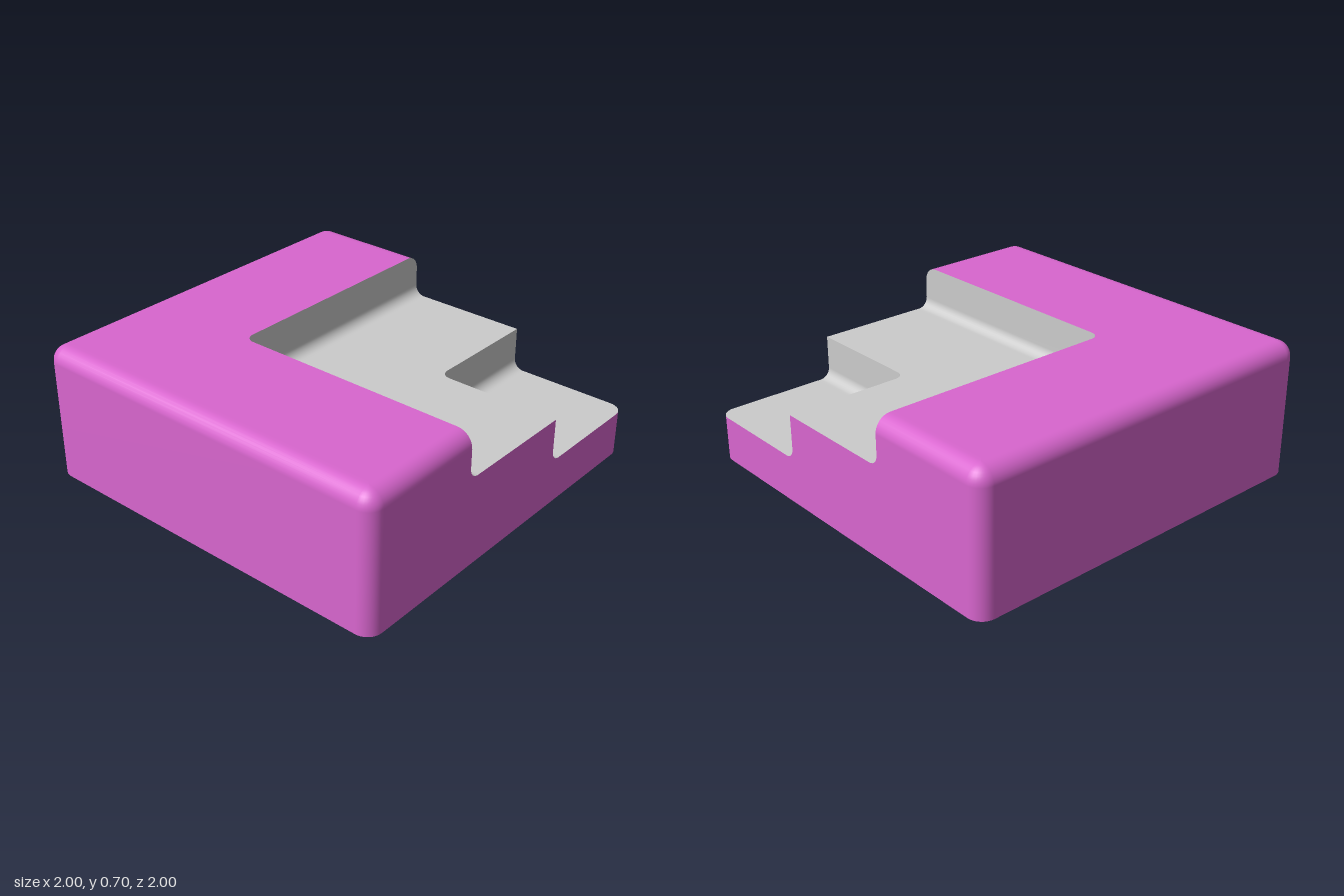
import * as THREE from 'three';

const TOP = 0.7, R = 0.08;          // block height, outer rounding
const F = 0.055, LIP = 0.02;        // recess fillet, flat strip beside each fillet
const STEPS = [{ at: -0.335, floor: 0.465 }, { at: 0.335, floor: 0.235 }];
const N = 8;

const pink = new THREE.MeshStandardMaterial({ color: 0xd966cf, side: THREE.DoubleSide });
const grey = new THREE.MeshStandardMaterial({ color: 0xcccccc, side: THREE.DoubleSide });

// Polyline of [x, z] points whose right-angled inner corners are rounded
function roundedPath(pts, r) {
  const out = [pts[0]];
  for (let i = 1; i < pts.length - 1; i++) {
    const p = new THREE.Vector2(...pts[i]);
    const u = new THREE.Vector2(...pts[i - 1]).sub(p).normalize();
    const v = new THREE.Vector2(...pts[i + 1]).sub(p).normalize();
    for (let k = 0; k <= N; k++) {
      const a = (k / N) * Math.PI / 2;
      const s = r * (1 - Math.sin(a)), t = r * (1 - Math.cos(a));
      out.push([p.x + u.x * s + v.x * t, p.y + u.y * s + v.y * t]);
    }
  }
  out.push(pts[pts.length - 1]);
  return out;
}

// Outer outline of the raised L, inset by d
const outerPath = (d) => roundedPath(
  [[STEPS[0].at, 1 - d], [-1 + d, 1 - d], [-1 + d, -1 + d], [1 - d, -1 + d], [1 - d, STEPS[0].at]],
  Math.max(R - d, 0));

// L-shaped wall line of a recess, moved inward by d
const recessPath = (at, d, end = 1) => roundedPath(
  [[at + d, end], [at + d, at + d], [end, at + d]], Math.max(F - d, 0));

const lift = (path, y) => path.map(([x, z]) => [x, y, z]);

// Smooth surface through rows of points
function grid(rows) {
  const w = rows[0].length, index = [];
  for (let i = 0; i < rows.length - 1; i++) {
    for (let j = 0; j < w - 1; j++) {
      const a = i * w + j, b = a + 1, c = a + w, d = c + 1;
      index.push(a, c, b, b, c, d);
    }
  }
  const g = new THREE.BufferGeometry();
  g.setAttribute('position', new THREE.Float32BufferAttribute(rows.flat(2), 3));
  g.setIndex(index);
  g.computeVertexNormals();
  return g;
}

// Level surface facing up
function flat(path, y) {
  const shape = new THREE.Shape(path.map(([x, z]) => new THREE.Vector2(x, -z)));
  return new THREE.ShapeGeometry(shape).rotateX(-Math.PI / 2).translate(0, y, 0);
}

export function createModel() {
  const group = new THREE.Group();
  const add = (name, geometry, material) => {
    const mesh = new THREE.Mesh(geometry, material);
    mesh.name = name;
    group.add(mesh);
  };
  const quarter = Array.from({ length: N + 1 }, (_, k) => (k / N) * Math.PI / 2);

  // Tall outer wall rolling over into the top
  const roll = quarter.map((a) => ({ d: R * (1 - Math.cos(a)), y: TOP - R + R * Math.sin(a) }));
  add('tallOuterWall', grid([
    lift(outerPath(0), 0),
    ...roll.map(({ d, y }) => lift(outerPath(d), y)),
    lift(outerPath(R + LIP), TOP),
  ]), pink);

  // Flat top of the raised L
  const rim = R + LIP;
  add('topSurface', flat(
    [...outerPath(rim), ...recessPath(STEPS[0].at, 0, 1 - rim).reverse()], TOP), pink);
  // Narrow ends of the top, between the flat area and the rolled edge
  // are already covered by the wall's last strip.

  // Low outer wall, its top edge following the two steps and their fillets
  const half = STEPS.flatMap(({ at, floor }, i) => [
    ...quarter.map((a) => [1, floor + F * (1 - Math.sin(a)), at + F * (1 - Math.cos(a))]),
    [1, floor, i === 0 ? STEPS[1].at : 1 - R],
  ]);
  const corner = lift(roundedPath([[1, 1 - R], [1, 1], [1 - R, 1]], R), STEPS[1].floor);
  const edge = [...half, ...corner, ...half.map(([x, y, z]) => [z, y, x]).reverse()];
  add('lowOuterWall', grid([edge.map(([x, , z]) => [x, 0, z]), edge]), pink);

  // Recess walls with a fillet into each floor
  STEPS.forEach(({ at, floor }, i) => {
    const head = i === 0
      ? [...roll].reverse().map(({ d, y }) => lift(recessPath(at, 0, 1 - d), y))
      : [lift(recessPath(at, 0), STEPS[0].floor)];
    const fillet = quarter.map((a) =>
      lift(recessPath(at, F * (1 - Math.cos(a))), floor + F * (1 - Math.sin(a))));
    const wall = [...head, ...fillet, lift(recessPath(at, F + LIP), floor)];
    add(i === 0 ? 'upperRecessWall' : 'lowerRecessWall', grid(wall), grey);
  });

  // Recess floors
  const [upper, lower] = STEPS;
  add('upperRecessFloor', flat(
    [...recessPath(upper.at, F + LIP), ...recessPath(lower.at, 0).reverse()], upper.floor), grey);
  add('lowerRecessFloor', flat(
    [...recessPath(lower.at, F + LIP),
      ...roundedPath([[1, lower.at + F + LIP], [1, 1], [lower.at + F + LIP, 1]], R)],
    lower.floor), grey);

  return group;
}
